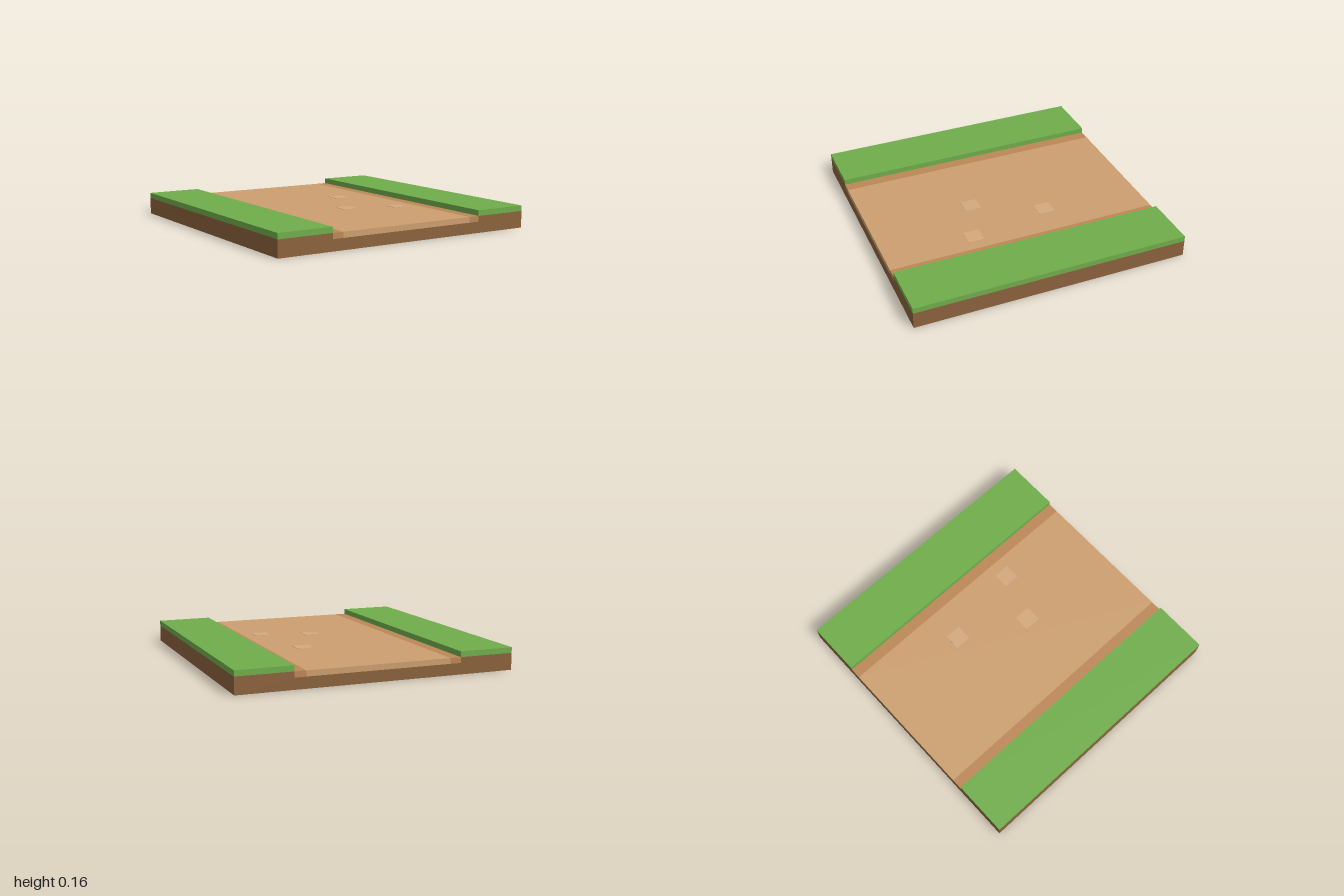
import * as THREE from 'three';

const paint = (color) => new THREE.MeshStandardMaterial({ color });
const SOIL = paint(0x8b623c);
const GRASS = paint(0x70ad4b);
const DIRT = paint(0xcd9f70);
const EDGE = paint(0xbc8857);
const PATCH = paint(0xd3a97e);

export function createModel() {
  const model = new THREE.Group();

  const add = (name, geometry, material, x = 0, y = 0, z = 0) => {
    const mesh = new THREE.Mesh(geometry, material);
    mesh.name = name;
    mesh.position.set(x, y, z);
    model.add(mesh);
    return mesh;
  };

  // Soil slab with a shallow channel for the path
  const profile = new THREE.Shape([
    [-1, 0], [1, 0], [1, 0.12], [0.6, 0.12],
    [0.6, 0.08], [-0.6, 0.08], [-0.6, 0.12], [-1, 0.12],
  ].map(([x, y]) => new THREE.Vector2(x, y)));
  add('soilBase', new THREE.ExtrudeGeometry(profile, { depth: 2, bevelEnabled: false }), SOIL, 0, 0, -1);

  // Path bed filling the channel
  add('path', new THREE.BoxGeometry(1.04, 0.04, 2), DIRT, 0, 0.1, 0);

  // Grass verges and darker path borders on both sides
  for (const [side, s] of [['left', 1], ['right', -1]]) {
    add(side + 'Grass', new THREE.BoxGeometry(0.4, 0.04, 2), GRASS, s * 0.8, 0.14, 0);
    add(side + 'PathEdge', new THREE.BoxGeometry(0.08, 0.04, 2), EDGE, s * 0.56, 0.1, 0);
  }

  // Pale worn patches lying on the path
  [[0.26, -0.26], [0.02, 0.22], [0.38, 0.34]].forEach(([x, z], i) => {
    add('pathPatch' + (i + 1), new THREE.BoxGeometry(0.12, 0.004, 0.12), PATCH, x, 0.12, z);
  });

  return model;
}
